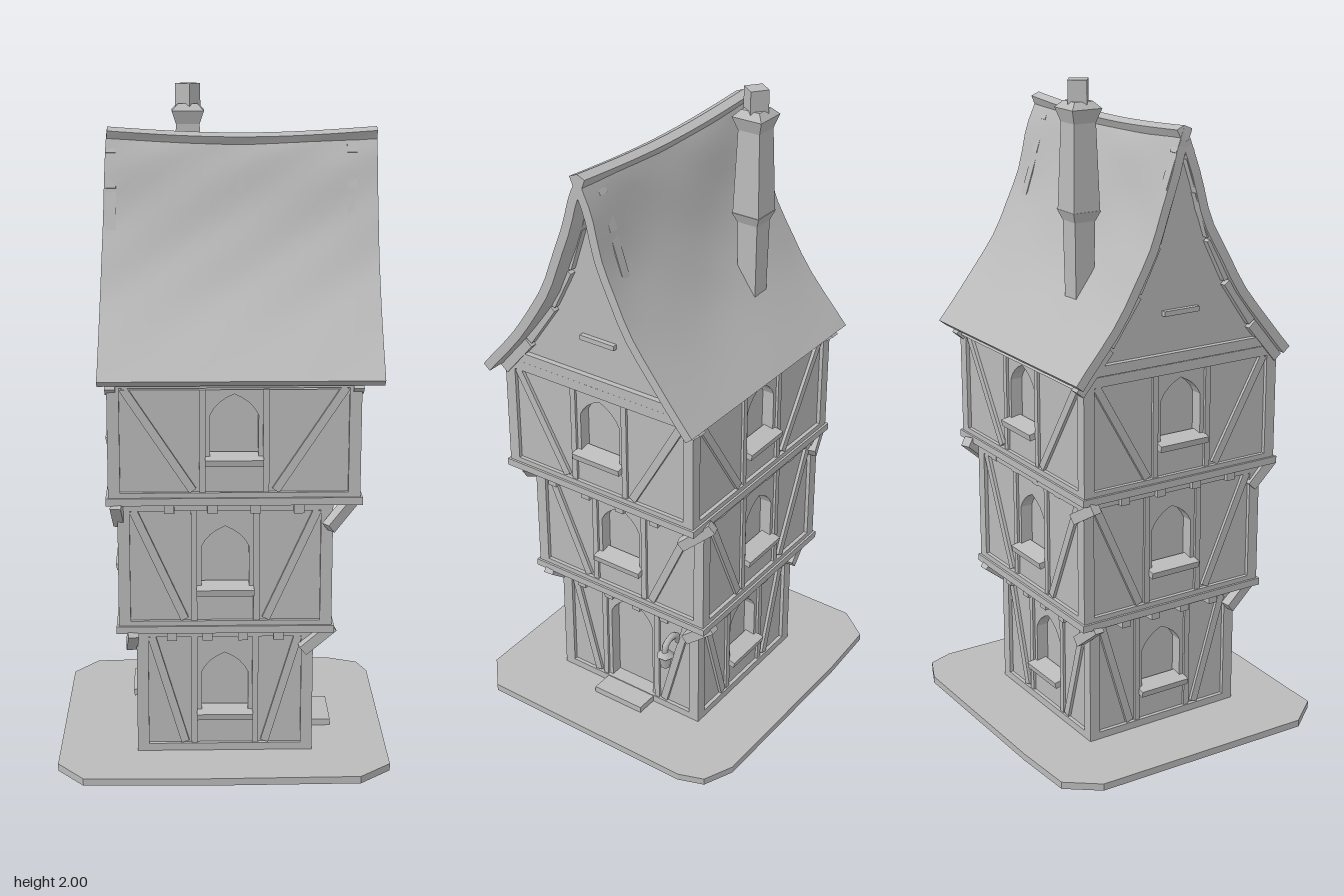
import * as THREE from 'three';

const stone = new THREE.MeshStandardMaterial({ color: 0xbababa });
stone.name = 'plainGrey';

function add(parent, name, geometry, x = 0, y = 0, z = 0) {
  const m = new THREE.Mesh(geometry, stone);
  m.name = name;
  m.position.set(x, y, z);
  parent.add(m);
  return m;
}

const box = (p, name, w, h, d, x, y, z) => add(p, name, new THREE.BoxGeometry(w, h, d), x, y, z);

// Flat timber lying in the plane of a wall, from one point to another
function timber(p, name, x1, y1, x2, y2, width, z, t = 0.03) {
  const m = box(p, name, Math.hypot(x2 - x1, y2 - y1), width, t, (x1 + x2) / 2, (y1 + y2) / 2, z);
  m.rotation.z = Math.atan2(y2 - y1, x2 - x1);
  return m;
}

// Square beam between two points in space
function strut(p, name, a, b, size) {
  const m = box(p, name, size, size, a.distanceTo(b), 0, 0, 0);
  m.position.copy(a).add(b).multiplyScalar(0.5);
  m.lookAt(b);
  return m;
}

// Pointed arch, used for window and door openings
function archPath(hw, bottom, top) {
  const spring = top - hw * 0.9;
  const p = new THREE.Path();
  p.moveTo(-hw, bottom);
  p.lineTo(hw, bottom);
  p.lineTo(hw, spring);
  p.quadraticCurveTo(hw * 0.75, top - hw * 0.3, 0, top);
  p.quadraticCurveTo(-hw * 0.75, top - hw * 0.3, -hw, spring);
  p.closePath();
  return p;
}

// One wall of a storey: pierced panel, frame, braces and sill
function wall(p, hw, off, y0, y1, opening) {
  const s = new THREE.Shape();
  s.moveTo(-hw + 0.012, y0);
  s.lineTo(hw - 0.012, y0);
  s.lineTo(hw - 0.012, y1);
  s.lineTo(-hw + 0.012, y1);
  s.closePath();
  s.holes.push(archPath(opening.hw, y0 + opening.bottom, y0 + opening.top));
  add(p, 'wallPanel', new THREE.ExtrudeGeometry(s, { depth: 0.045, bevelEnabled: false, curveSegments: 4 }), 0, 0, off - 0.057);
  const z = off - 0.015;
  box(p, 'lowerRail', hw * 2, 0.03, 0.03, 0, y0 + 0.015, z);
  box(p, 'upperRail', hw * 2, 0.03, 0.03, 0, y1 - 0.015, z);
  for (const k of [-1, 1]) {
    box(p, 'cornerPost', 0.035, y1 - y0, 0.034, k * (hw - 0.0175), (y0 + y1) / 2, z - 0.002);
    box(p, 'openingPost', 0.018, y1 - y0, 0.022, k * (opening.hw + 0.022), (y0 + y1) / 2, z);
    timber(p, 'brace', k * (hw - 0.045), y1 - 0.03, k * (opening.hw + 0.05), y0 + 0.035, 0.024, z, 0.026);
  }
  if (opening.sill) {
    const sill = box(p, 'sill', opening.hw * 2 + 0.03, 0.02, 0.06, 0, y0 + opening.bottom - 0.004, off - 0.015);
    sill.rotation.x = 0.2;
  } else {
    box(p, 'doorStep', 0.18, 0.03, 0.08, 0, y0 + 0.012, off + 0.03);
  }
}

// Roof section from ridge to eave: distance outwards and height
const roofCurve = new THREE.SplineCurve([[0, 1.885], [0.035, 1.8], [0.1, 1.6], [0.21, 1.4], [0.372, 1.2]]
  .map(([a, b]) => new THREE.Vector2(a, b)));

// One curved, gently uneven roof slope
function roofSlope(side) {
  const g = new THREE.BoxGeometry(1, 1, 1, 16, 1, 16);
  const pos = g.attributes.position;
  for (let i = 0; i < pos.count; i++) {
    const u = side * pos.getX(i) + 0.5, s = pos.getZ(i) + 0.5;
    const c = roofCurve.getPoint(s), t = roofCurve.getTangent(s);
    const inner = pos.getY(i) < 0 ? 0.028 : 0;
    const bump = 0.005 * Math.sin(u * 13 + s * 7 + side) * Math.sin(s * 17 + u * 3) * Math.sin(Math.PI * s);
    const left = -0.367 + 0.027 * (1 - s);
    const x = left + (0.454 - left) * u;
    const sag = 0.018 * Math.sin(Math.PI * u) * (1 - s);
    pos.setXYZ(i, side * x, c.y - sag + t.x * (bump - inner), c.x - t.y * (bump - inner));
  }
  g.computeVertexNormals();
  return g;
}

export function createModel() {
  const model = new THREE.Group();
  model.name = 'timberHouse';

  // Thin ground slab with cut corners
  const outline = [[-0.455, -0.41], [-0.37, -0.5], [-0.17, -0.49], [0.42, -0.43], [0.51, -0.38], [0.53, -0.3],
    [0.453, 0.42], [0.35, 0.495], [-0.1, 0.455], [-0.465, 0.41], [-0.535, 0.3]];
  const slab = new THREE.ExtrudeGeometry(new THREE.Shape(outline.map(([x, z]) => new THREE.Vector2(x, -z))),
    { depth: 0.022, bevelEnabled: false });
  slab.rotateX(-Math.PI / 2);
  add(model, 'groundSlab', slab);

  const house = new THREE.Group();
  house.name = 'house';
  house.rotation.y = -0.1;
  model.add(house);

  // Three storeys, each jutting over the one below
  const storeys = [
    { name: 'groundFloor', cx: 0, cz: 0, w: 0.265, d: 0.265, y0: 0.015, y1: 0.42 },
    { name: 'middleFloor', cx: 0, cz: 0, w: 0.315, d: 0.315, y0: 0.43, y1: 0.83 },
    { name: 'upperFloor', cx: 0.025, cz: 0.01, w: 0.365, d: 0.338, y0: 0.835, y1: 1.205 }
  ];
  const windowOpening = { hw: 0.07, bottom: 0.13, top: 0.32, sill: true };
  const doorOpening = { hw: 0.08, bottom: 0.03, top: 0.36, sill: false };
  storeys.forEach((f, n) => {
    const g = new THREE.Group();
    g.name = f.name;
    g.position.set(f.cx, 0, f.cz);
    house.add(g);
    box(g, 'core', f.w * 2 - 0.1, f.y1 - f.y0, f.d * 2 - 0.1, 0, (f.y0 + f.y1) / 2, 0);
    for (let k = 0; k < 4; k++) {
      const side = new THREE.Group();
      side.name = ['frontWall', 'leftWall', 'backWall', 'rightWall'][k];
      side.rotation.y = k * Math.PI / 2;
      g.add(side);
      const [hw, off] = k % 2 ? [f.d, f.w] : [f.w, f.d];
      wall(side, hw, off, f.y0, f.y1, n === 0 && k === 1 ? doorOpening : windowOpening);
    }
    if (n === 0) return;
    // Jetty: floor plate, joist ends and corner struts
    const b = storeys[n - 1];
    box(g, 'floorPlate', f.w * 2 + 0.014, 0.022, f.d * 2 + 0.014, 0, f.y0 + 0.004, 0);
    for (const t of [-0.6, -0.2, 0.2, 0.6]) {
      box(g, 'joist', 0.03, 0.035, f.d * 2 - 0.025, t * b.w, f.y0 - 0.02, 0);
      box(g, 'crossJoist', f.w * 2 - 0.025, 0.035, 0.03, 0, f.y0 - 0.02, t * b.d);
    }
    for (const sx of [-1, 1]) for (const sz of [-1, 1]) {
      strut(g, 'cornerStrut',
        new THREE.Vector3(b.cx - f.cx + sx * (b.w - 0.015), f.y0 - 0.085, b.cz - f.cz + sz * (b.d - 0.015)),
        new THREE.Vector3(sx * (f.w - 0.012), f.y0 + 0.005, sz * (f.d - 0.012)), 0.032);
    }
  });

  // Gable block under the roof, with rafters and tie beams at both ends
  const half = roofCurve.getPoints(10).map(p => new THREE.Vector2(p.x * 0.92, p.y - 0.03));
  const mirrored = half.slice(1).reverse().map(p => new THREE.Vector2(-p.x, p.y));
  const gable = new THREE.ExtrudeGeometry(new THREE.Shape([...mirrored, ...half]), { depth: 0.7, bevelEnabled: false });
  gable.rotateY(Math.PI / 2);
  add(house, 'gableBlock', gable, -0.325, 0, 0.004);
  for (const k of [-1, 1]) {
    const end = new THREE.Group();
    end.name = k > 0 ? 'leftGable' : 'rightGable';
    end.position.set(k > 0 ? 0.375 : -0.325, 0, 0.004);
    end.rotation.y = k * Math.PI / 2;
    house.add(end);
    box(end, 'tieBeam', 0.66, 0.03, 0.035, 0, 1.222, 0);
    box(end, 'gableSill', 0.12, 0.015, 0.03, 0, 1.355, 0);
    const pts = roofCurve.getPoints(6);
    for (const m of [-1, 1]) for (let i = 0; i < 6; i++) {
      const a = pts[i], b = pts[i + 1];
      timber(end, 'rafter', m * a.x * 0.93, a.y - 0.045, m * b.x * 0.93, b.y - 0.035, 0.03, 0.005, 0.03);
    }
  }

  // Roof slopes
  for (const side of [1, -1]) {
    const slope = add(house, side > 0 ? 'frontRoof' : 'backRoof', roofSlope(side), 0, 0, 0.004);
    slope.rotation.y = side > 0 ? 0 : Math.PI;
  }

  // Chimney: tapering stack, shaft, flared cap and turned pot
  const chimney = new THREE.Group();
  chimney.name = 'chimney';
  chimney.position.set(-0.083, 0, -0.203);
  chimney.rotation.y = -0.1;
  model.add(chimney);
  const frustum = (name, top, bottom, y0, y1) => {
    const m = add(chimney, name, new THREE.CylinderGeometry(top * Math.SQRT1_2, bottom * Math.SQRT1_2, y1 - y0, 4).toNonIndexed(), 0, (y0 + y1) / 2, 0);
    m.geometry.computeVertexNormals();
    m.rotation.y = Math.PI / 4;
    return m;
  };
  frustum('stack', 0.068, 0.06, 1.36, 1.62);
  frustum('stackCollar', 0.092, 0.068, 1.6, 1.63);
  frustum('shaft', 0.072, 0.088, 1.63, 1.88);
  frustum('flare', 0.098, 0.072, 1.88, 1.92);
  frustum('cap', 0.06, 0.098, 1.92, 1.94);
  frustum('pot', 0.055, 0.055, 1.93, 2).rotation.y = 0.15;

  // Lantern hanging from a curved bracket beside the door
  const lantern = new THREE.Group();
  lantern.name = 'lantern';
  lantern.position.set(0.27, 0, -0.155);
  model.add(lantern);
  const arm = new THREE.CatmullRomCurve3([[0, 0.3], [0.02, 0.335], [0.055, 0.345], [0.082, 0.335], [0.085, 0.31]]
    .map(([x, y]) => new THREE.Vector3(x, y, 0)));
  add(lantern, 'bracketArm', new THREE.TubeGeometry(arm, 10, 0.011, 6), 0, 0, 0);
  add(lantern, 'lanternTop', new THREE.CylinderGeometry(0.01, 0.028, 0.02, 6), 0.082, 0.31, 0);
  add(lantern, 'lanternBody', new THREE.CylinderGeometry(0.024, 0.014, 0.045, 6), 0.082, 0.28, 0);

  return model;
}
